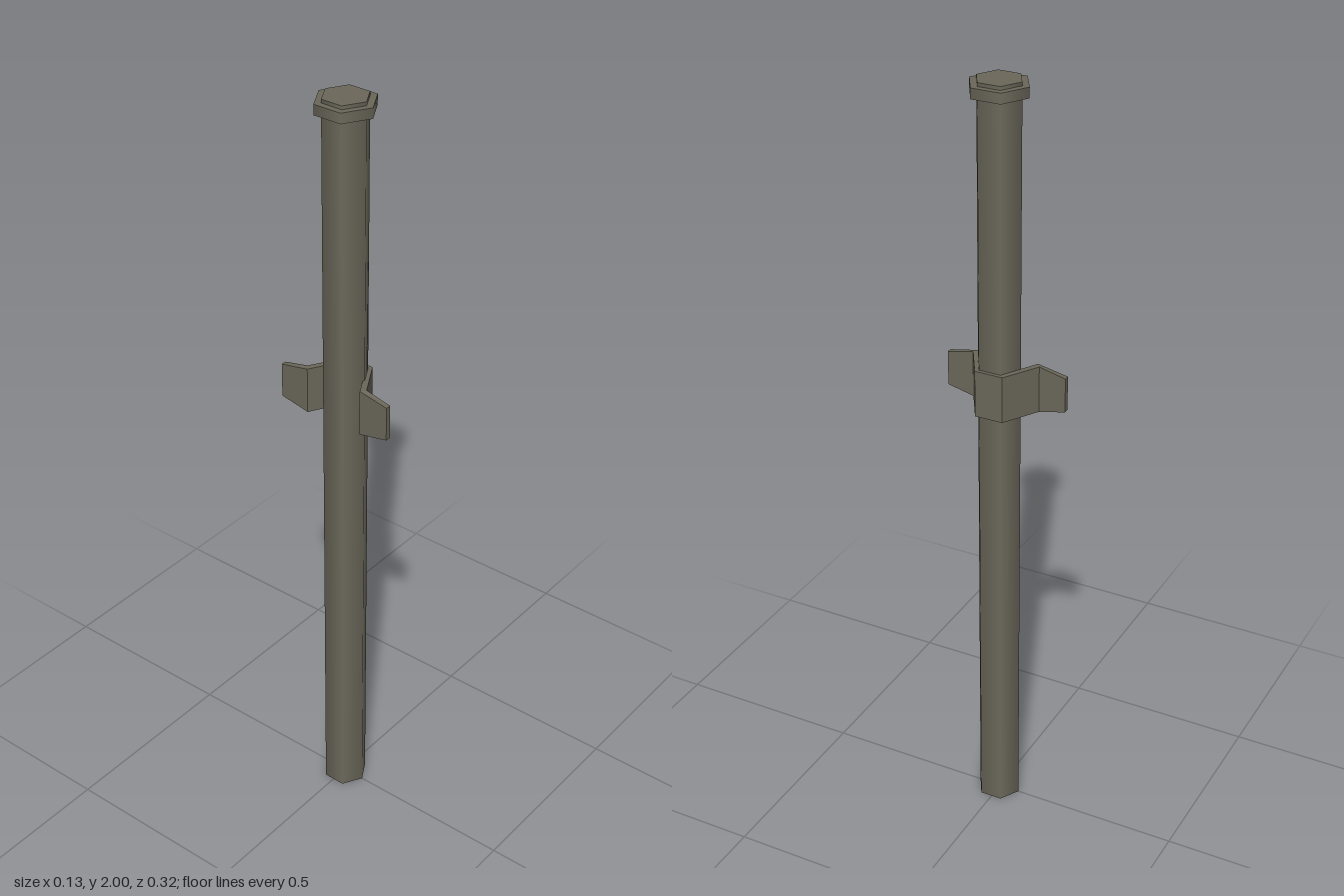
import * as THREE from 'three';

export function createModel() {
  const group = new THREE.Group();
  const metal = new THREE.MeshStandardMaterial({ color: 0x6b685a, side: THREE.DoubleSide });
  metal.name = 'olive grey metal';

  const add = (name, geometry, y = 0, z = 0) => {
    const mesh = new THREE.Mesh(geometry, metal);
    mesh.name = name;
    mesh.position.set(0, y, z);
    group.add(mesh);
    return mesh;
  };

  // Hexagonal tube, smooth shaded and open at the foot
  add('shaft', new THREE.CylinderGeometry(0.058, 0.058, 2, 6, 1, true), 1, 0.002);
  const lid = add('topLid', new THREE.CircleGeometry(0.058, 6, Math.PI / 2), 2, 0.002);
  lid.rotation.x = -Math.PI / 2;

  // Wider hexagonal collar just below the top
  add('collar', new THREE.CylinderGeometry(0.076, 0.076, 0.026, 6), 1.978, 0.002);

  // Bent strap: outer then inner outline of one half, mirrored across z
  const outer = [[0.06, 0.037], [-0.031, 0.09], [-0.031, 0.16]];
  const inner = [[-0.045, 0.16], [-0.045, 0.08], [0.047, 0.028]];
  const half = [...outer, ...inner];
  const mirrored = half.map(([x, z]) => [x, -z]).reverse();
  const outline = new THREE.Shape([...half, ...mirrored].map(([x, z]) => new THREE.Vector2(x, z)));

  const height = 0.122;
  const strap = new THREE.ExtrudeGeometry(outline, { depth: height, bevelEnabled: false });
  strap.translate(0, 0, -height / 2);
  strap.rotateX(-Math.PI / 2);

  // Narrow the strap towards the tips of its wings
  const p = strap.attributes.position;
  for (let i = 0; i < p.count; i++) {
    if (Math.abs(p.getZ(i)) > 0.12) p.setY(i, p.getY(i) * 0.74);
  }
  strap.computeVertexNormals();
  add('clampStrap', strap, 1.226);

  return group;
}
